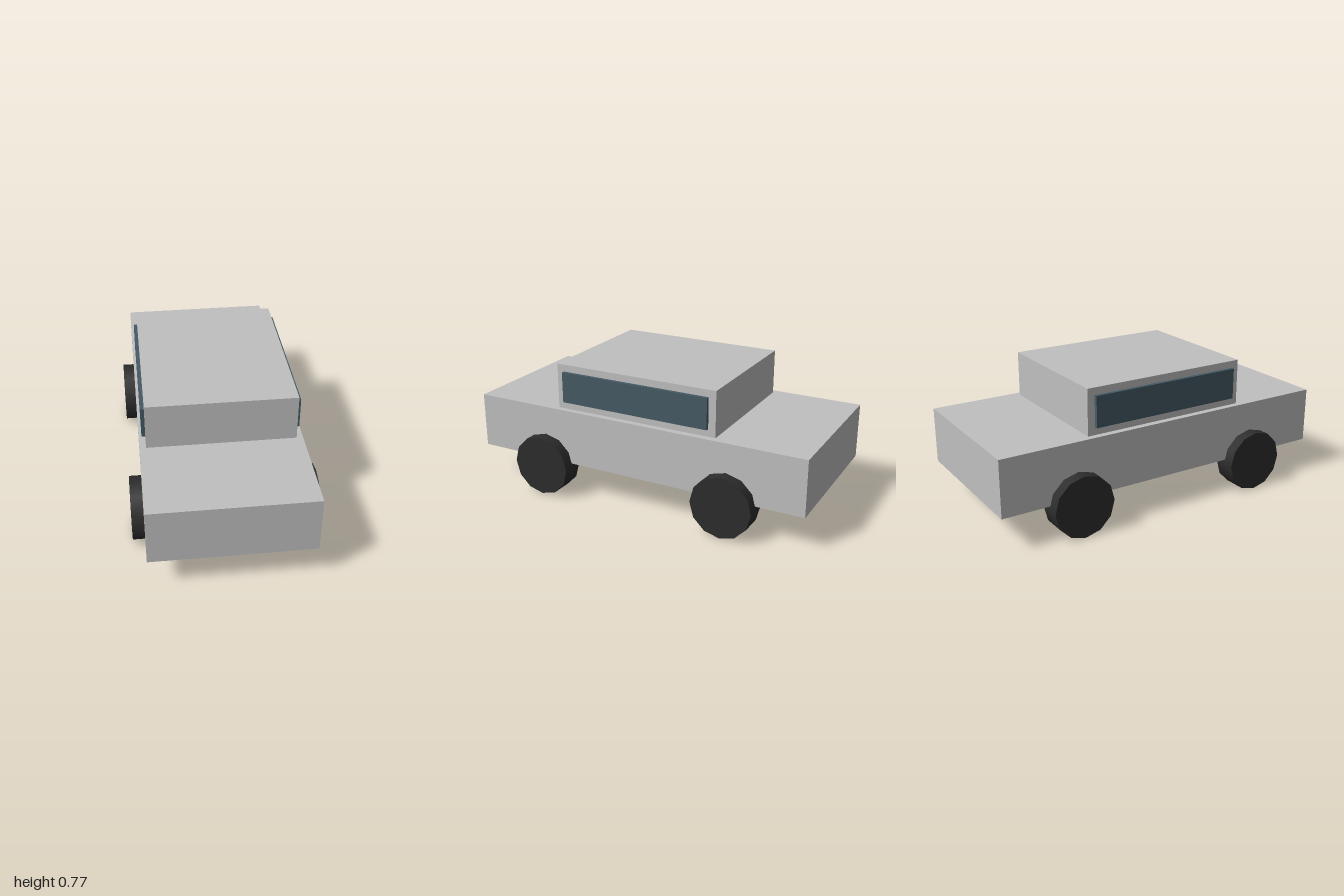
import * as THREE from 'three';

const paint = new THREE.MeshStandardMaterial({ name: 'silver paint', color: 0xc0c0c0 });
const glass = new THREE.MeshStandardMaterial({ name: 'blue grey glass', color: 0x455a64 });
const rubber = new THREE.MeshStandardMaterial({ name: 'dark rubber', color: 0x2d2d2d });

// Box given by its size and the height of its underside
function box(name, material, width, height, depth, x, bottom) {
  const mesh = new THREE.Mesh(new THREE.BoxGeometry(width, height, depth), material);
  mesh.name = name;
  mesh.position.set(x, bottom + height / 2, 0);
  return mesh;
}

export function createModel() {
  const car = new THREE.Group();
  car.name = 'car';

  // Lower body and cabin
  car.add(box('body', paint, 0.87, 0.316, 2, 0, 0.197));
  car.add(box('cabin', paint, 0.8, 0.257, 0.97, 0, 0.513));

  // Twelve-sided wheels, axle along x
  const wheelShape = new THREE.CylinderGeometry(0.174, 0.174, 0.13, 12);
  wheelShape.rotateZ(Math.PI / 2);

  for (const [side, sx] of [['left', 1], ['right', -1]]) {
    // Long side window standing proud of the cabin wall
    car.add(box(side + 'Window', glass, 0.04, 0.174, 0.886, sx * 0.4, 0.556));

    for (const [end, sz] of [['Front', 1], ['Rear', -1]]) {
      const wheel = new THREE.Mesh(wheelShape, rubber);
      wheel.name = side + end + 'Wheel';
      wheel.position.set(sx * 0.435, 0.174, sz * 0.563);
      car.add(wheel);
    }
  }
  return car;
}
